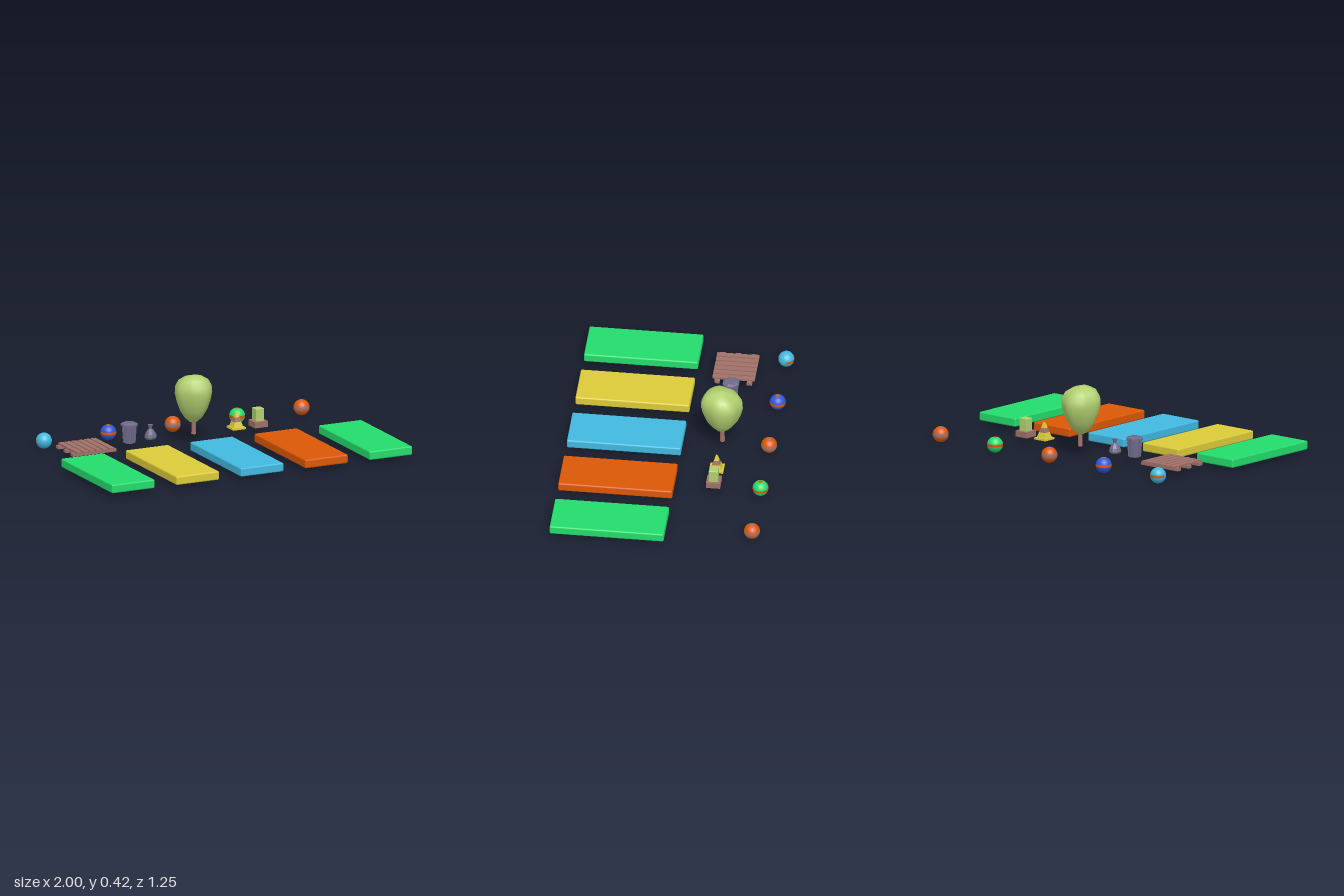
import * as THREE from 'three';
import { RoundedBoxGeometry } from 'three/addons/geometries/RoundedBoxGeometry.js';

const mat = (name, color) => {
  const m = new THREE.MeshStandardMaterial({ color });
  m.name = name;
  return m;
};

export function createModel() {
  const model = new THREE.Group();
  model.name = 'playground';
  const green = mat('green', 0x24dc6c), yellow = mat('yellow', 0xdccb3a);
  const cyan = mat('cyan', 0x42b9e0), orange = mat('orange', 0xdc5806);
  const blue = mat('blue', 0x3058d8), wood = mat('wood', 0xa07168);
  const leaf = mat('leaf', 0xb2d070), metal = mat('metal', 0x706b8a);

  const PITCH = 0.4285, ROW = -0.295;
  const group = (name, x, y, z) => {
    const g = new THREE.Group();
    g.name = name;
    g.position.set(x, y, z);
    model.add(g);
    return g;
  };
  const add = (parent, name, geo, material, x = 0, y = 0, z = 0) => {
    const m = new THREE.Mesh(geo, material);
    m.name = name;
    m.position.set(x, y, z);
    parent.add(m);
    return m;
  };
  const box = (w, h, d) => new THREE.BoxGeometry(w, h, d);
  const flat = (geo) => {
    const g = geo.toNonIndexed();
    g.computeVertexNormals();
    return g;
  };

  // Five long platforms
  [green, yellow, cyan, orange, green].forEach((m, i) => {
    add(model, 'platform', new RoundedBoxGeometry(0.285, 0.054, 0.684, 2, 0.009), m, (i - 2) * PITCH, 0.0515, 0.28);
  });

  // Five balls, each with an equator band (front and back halves) and pole dots
  const R = 0.048;
  const balls = [
    { skin: cyan, stripe: orange, width: 0.17, backOnly: true },
    { skin: blue, stripe: orange, width: 0.17, dots: true },
    { skin: orange, stripe: wood, width: 0.27, dots: true },
    { skin: green, stripe: orange, width: 0.17, dots: true },
    { skin: orange, stripe: wood, width: 0.27, dots: true },
  ];
  balls.forEach(({ skin, stripe, width, dots, backOnly }, i) => {
    const ball = group('ball', (i - 2) * PITCH, R, -0.575);
    const cuts = [0, 0.3, Math.PI / 2 - width, Math.PI / 2 + width, Math.PI - 0.3, Math.PI];
    for (let k = 0; k < 5; k++) {
      for (const back of [0, 1]) {
        const striped = (k === 2 && (back || !backOnly)) || (dots && k % 4 === 0);
        const zone = new THREE.SphereGeometry(R, 16, 6, back * Math.PI, Math.PI, cuts[k], cuts[k + 1] - cuts[k]);
        add(ball, striped ? 'ballStripe' : 'ballSkin', zone, striped ? stripe : skin);
      }
    }
  });

  // Pallet: six slats over three rails
  const pallet = group('pallet', -0.717, 0, -0.29);
  for (let i = 0; i < 6; i++) add(pallet, 'slat', box(0.033, 0.012, 0.254), wood, (i - 2.5) * 0.043, 0.066, 0);
  for (let i = -1; i <= 1; i++) add(pallet, 'rail', box(0.288, 0.018, 0.032), wood, 0, 0.052, i * 0.097);

  // Bin with ribs, lid and handle
  const bin = group('bin', -PITCH, 0, ROW);
  add(bin, 'binBody', flat(new THREE.CylinderGeometry(0.041, 0.033, 0.108, 8)), metal, 0, 0.106, 0);
  for (let i = 0; i < 8; i++) {
    const turn = new THREE.Group();
    turn.name = 'binRib';
    turn.rotation.y = i * Math.PI / 4;
    bin.add(turn);
    add(turn, 'rib', box(0.012, 0.104, 0.007), metal, 0, 0.106, 0.038).rotation.x = 0.074;
  }
  const rim = flat(new THREE.CylinderGeometry(0.052, 0.052, 0.013, 8).rotateY(Math.PI / 8));
  const lid = flat(new THREE.CylinderGeometry(0.034, 0.051, 0.008, 8).rotateY(Math.PI / 8));
  add(bin, 'binRim', rim, metal, 0, 0.162, 0);
  add(bin, 'binLid', lid, metal, 0, 0.1725, 0);
  add(bin, 'binHandle', box(0.026, 0.007, 0.008), metal, 0, 0.178, 0);

  // Tied bag
  const bagProfile = [[0, 0.055], [0.032, 0.055], [0.039, 0.066], [0.034, 0.085], [0.02, 0.107], [0.009, 0.118], [0.016, 0.143], [0, 0.138]];
  const bagGeo = new THREE.LatheGeometry(bagProfile.map(([r, y]) => new THREE.Vector2(r, y)), 9);
  const bp = bagGeo.attributes.position;
  for (let i = 0; i < bp.count; i++) {
    const a = Math.atan2(bp.getZ(i), bp.getX(i));
    const k = 1 + 0.1 * Math.sin(3 * a + 0.6);
    bp.setXYZ(i, bp.getX(i) * k, bp.getY(i), bp.getZ(i) * k * 0.92);
  }
  add(group('bag', -0.283, 0, -0.308), 'bagBody', flat(bagGeo), metal);

  // Tree with a lopsided, lobed crown
  const tree = group('tree', 0, 0, ROW);
  add(tree, 'trunk', new THREE.CylinderGeometry(0.011, 0.015, 0.13, 10), wood, 0, 0.12, 0);
  const crownPoints = [[0, 0.125], [0.024, 0.133], [0.056, 0.163], [0.084, 0.208], [0.103, 0.26], [0.114, 0.31], [0.111, 0.35], [0.09, 0.388], [0.053, 0.41], [0, 0.42]];
  const crownGeo = new THREE.LatheGeometry(crownPoints.map(([r, y]) => new THREE.Vector2(r, y)), 24);
  const cp = crownGeo.attributes.position;
  for (let i = 0; i < cp.count; i++) {
    const x = cp.getX(i), y = cp.getY(i), z = cp.getZ(i);
    const a = Math.atan2(z, x);
    const k = 1 + 0.045 * Math.sin(4 * a + 0.8 + y * 6) + 0.025 * Math.sin(7 * a);
    const high = (y - 0.125) / 0.295;
    cp.setXYZ(i, x * k - 0.004, y + 0.12 * z * high, z * k * 1.06 + 0.004);
  }
  crownGeo.computeVertexNormals();
  // Close the shading across the seam of the crown
  const cn = crownGeo.attributes.normal, rows = crownPoints.length;
  for (let j = 0; j < rows; j++) {
    const e = 24 * rows + j;
    const n = new THREE.Vector3().fromBufferAttribute(cn, j).add(new THREE.Vector3().fromBufferAttribute(cn, e)).normalize();
    cn.setXYZ(j, n.x, n.y, n.z);
    cn.setXYZ(e, n.x, n.y, n.z);
  }
  add(tree, 'crown', crownGeo, leaf);

  // Square warning cone with one dark band
  const cone = group('cone', 0.283, 0, ROW);
  add(cone, 'coneBase', box(0.086, 0.012, 0.086), yellow, 0, 0.06, 0);
  const levels = [0.066, 0.098, 0.125, 0.157];
  const half = (y) => 0.032 - 0.027 * (y - 0.066) / 0.091;
  for (let i = 0; i < 3; i++) {
    const [a, b] = [levels[i], levels[i + 1]];
    const band = new THREE.CylinderGeometry(half(b) * Math.SQRT2, half(a) * Math.SQRT2, b - a, 4);
    band.rotateY(Math.PI / 4);
    add(cone, 'coneBand', flat(band), i === 1 ? wood : yellow, 0, (a + b) / 2, 0);
  }

  // Planter with a clipped hedge
  const planter = group('planter', PITCH, 0, ROW);
  add(planter, 'planterBox', box(0.086, 0.036, 0.086), wood, 0, 0.069, 0);
  add(planter, 'hedge', new RoundedBoxGeometry(0.056, 0.08, 0.056, 1, 0.004), leaf, 0, 0.124, 0);

  return model;
}
